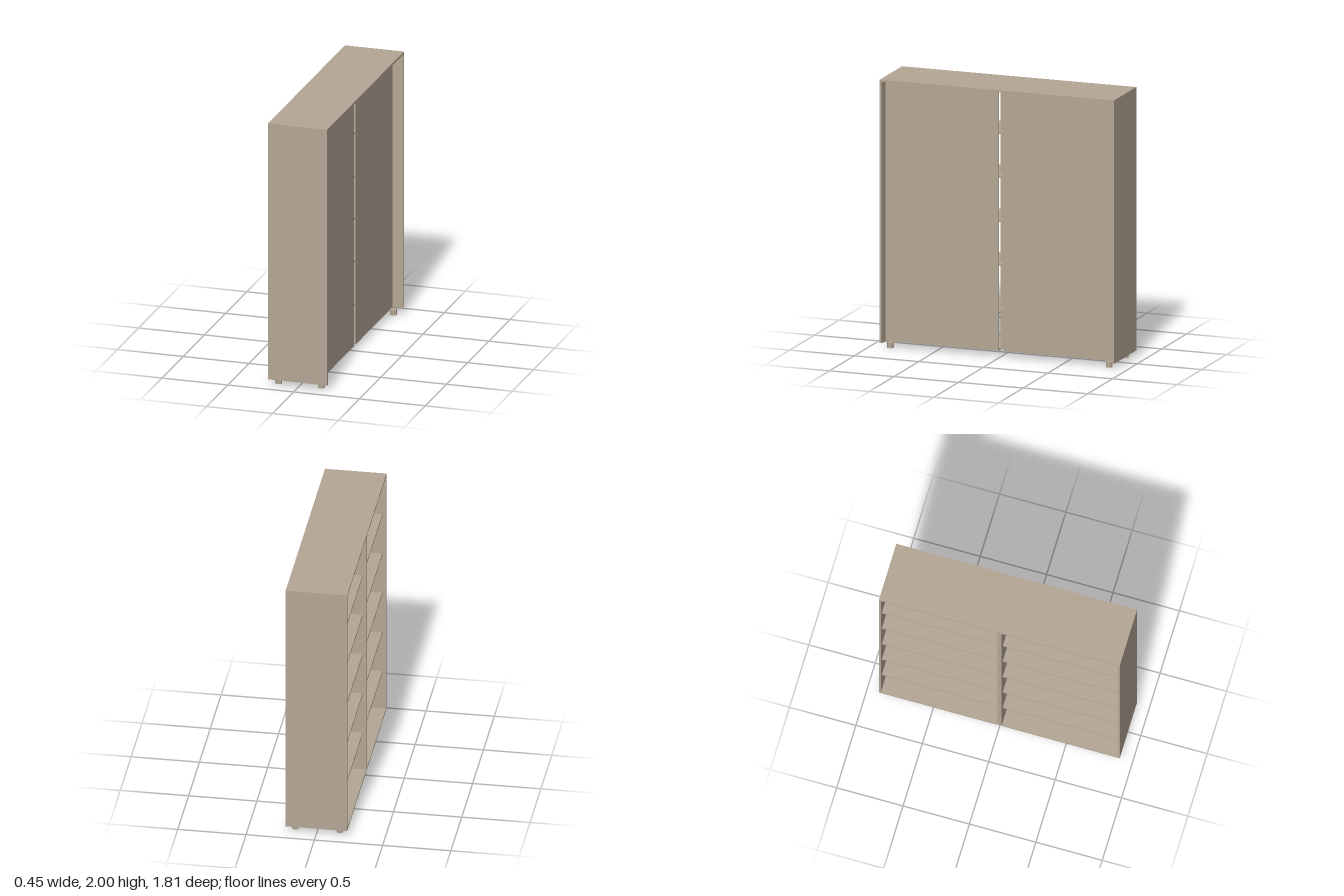
import * as THREE from 'three';

export function createModel() {
  const group = new THREE.Group();
  group.name = 'bookcase';
  const wood = new THREE.MeshStandardMaterial({ color: 0xb5a796 });
  wood.name = 'taupe board';

  // Board given by its min and max corners
  function board(name, [x0, y0, z0], [x1, y1, z1]) {
    const mesh = new THREE.Mesh(new THREE.BoxGeometry(x1 - x0, y1 - y0, z1 - z0), wood);
    mesh.name = name;
    mesh.position.set((x0 + x1) / 2, (y0 + y1) / 2, (z0 + z1) / 2);
    group.add(mesh);
  }

  const X = 0.225, Z = 0.907, T = 0.015; // half depth, half width, board thickness
  const base = 0.042, floor = base + T, ceiling = 2 - T;
  const inner = Z - T, gap = 0.018;      // bay limits
  const backX = 0.143;                   // outer plane of the recessed back

  // Outer carcass; the open side faces -x
  board('topPanel', [-X, ceiling, -Z], [X, 2, Z]);
  board('centreDivider', [-X, base + 0.005, -gap], [0.1, ceiling, gap]);

  for (const s of [-1, 1]) {
    const span = (a, b) => (s > 0 ? [a, b] : [-b, -a]);
    const [w0, w1] = span(inner, Z);
    board('sidePanel', [-X, base, w0], [X, ceiling, w1]);

    // Floor and back of each bay
    const [b0, b1] = span(gap, inner);
    board('bottomPanel', [-X, base, b0], [backX, floor, b1]);
    board('backPanel', [backX - 0.01, floor, b0], [backX, ceiling, b1]);

    // Hexagonal feet
    for (const x of [-0.163, 0.163]) {
      const geometry = new THREE.CylinderGeometry(0.026, 0.026, base, 6).toNonIndexed();
      geometry.computeVertexNormals();
      const foot = new THREE.Mesh(geometry, wood);
      foot.name = 'foot';
      foot.position.set(x, base / 2, s * 0.847);
      group.add(foot);
    }
  }

  // Shelves: one board per bay, with a tab in the slot behind the divider
  for (let i = 0; i < 5; i++) {
    const y = 0.347 + i * 0.3265;
    board('shelf', [-0.197, y, gap], [backX - 0.01, y + T, inner]);
    board('shelf', [-0.197, y, -inner], [backX - 0.01, y + T, -gap]);
    board('shelfTab', [0.1, y, -gap], [backX - 0.005, y + T, gap]);
  }

  return group;
}
